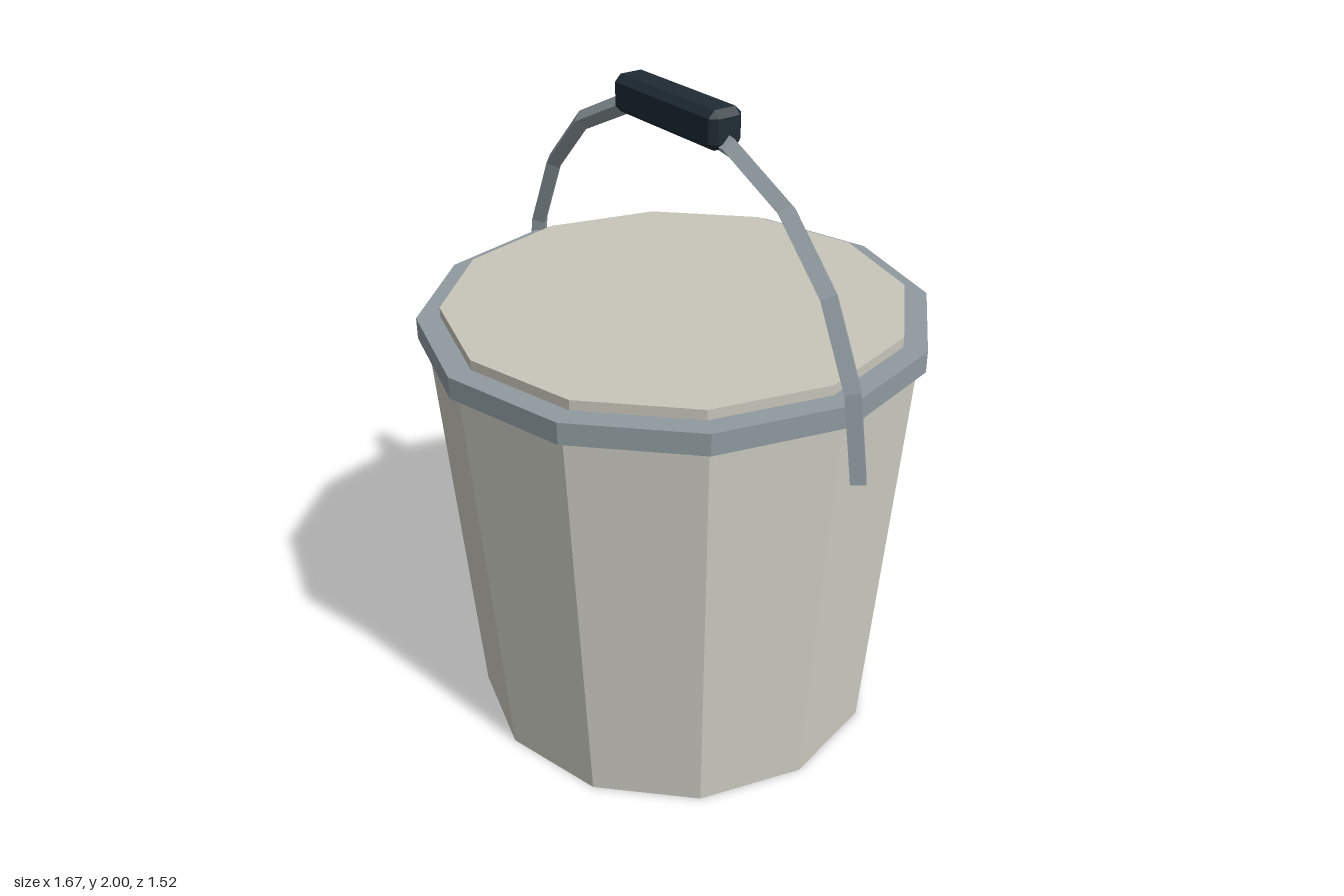
import * as THREE from 'three';
import { ConvexGeometry } from 'three/addons/geometries/ConvexGeometry.js';

const SIDES = 12;

function material(name, color) {
  const m = new THREE.MeshStandardMaterial({ color });
  m.name = name;
  return m;
}

// Split shared vertices so every facet has its own flat normal
function faceted(geometry) {
  const g = geometry.index ? geometry.toNonIndexed() : geometry;
  g.computeVertexNormals();
  return g;
}

// Box with all edges and corners cut at 45 degrees
function chamferedBox(w, h, d, c) {
  const half = new THREE.Vector3(w / 2, h / 2, d / 2);
  const points = [];
  for (const sx of [-1, 1]) for (const sy of [-1, 1]) for (const sz of [-1, 1]) {
    for (const axis of [0, 1, 2]) {
      const p = half.clone().subScalar(c);
      p.setComponent(axis, half.getComponent(axis));
      points.push(p.multiply(new THREE.Vector3(sx, sy, sz)));
    }
  }
  return new ConvexGeometry(points);
}

export function createModel() {
  const group = new THREE.Group();
  group.name = 'bucket';

  const shell = material('pale shell', 0xcfcec5);
  const cover = material('lid cream', 0xc8c5ba);
  const metal = material('grey metal', 0x8f9a9f);
  const rubber = material('dark grip', 0x1f2b34);

  const add = (name, geometry, mat) => {
    const mesh = new THREE.Mesh(faceted(geometry), mat);
    mesh.name = name;
    group.add(mesh);
    return mesh;
  };

  // A twelve-sided drum between two heights
  const drum = (name, rTop, rBottom, y0, y1, mat) => {
    add(name, new THREE.CylinderGeometry(rTop, rBottom, y1 - y0, SIDES), mat)
      .position.y = (y0 + y1) / 2;
  };
  drum('body', 0.735, 0.64, 0, 1.3, shell);
  drum('rim', 0.76, 0.76, 1.285, 1.35, metal);
  drum('lid', 0.69, 0.69, 1.34, 1.38, cover);

  // Arched handle with a diamond cross-section, mirrored about x = 0
  const side = [[0.803, 1.14], [0.762, 1.38], [0.65, 1.615], [0.48, 1.79], [0.245, 1.9]];
  const path = [
    ...side.map(([x, y]) => new THREE.Vector3(-x, y, 0)),
    new THREE.Vector3(0, 1.94, 0),
    ...side.map(([x, y]) => new THREE.Vector3(x, y, 0)).reverse(),
  ];
  const arch = new THREE.CatmullRomCurve3(path);
  add('handle', new THREE.TubeGeometry(arch, 10, 0.03, 4), metal);

  // Caps closing the two handle ends
  for (const end of [0, 1]) {
    const cap = add('handleEnd', new THREE.CircleGeometry(0.03, 4), metal);
    cap.position.copy(arch.getPoint(end));
    const outward = arch.getTangent(end).multiplyScalar(end ? 1 : -1);
    cap.quaternion.setFromUnitVectors(new THREE.Vector3(0, 0, 1), outward);
  }

  // Grip around the top of the handle
  add('grip', chamferedBox(0.47, 0.11, 0.11, 0.02), rubber).position.y = 1.945;

  return group;
}
